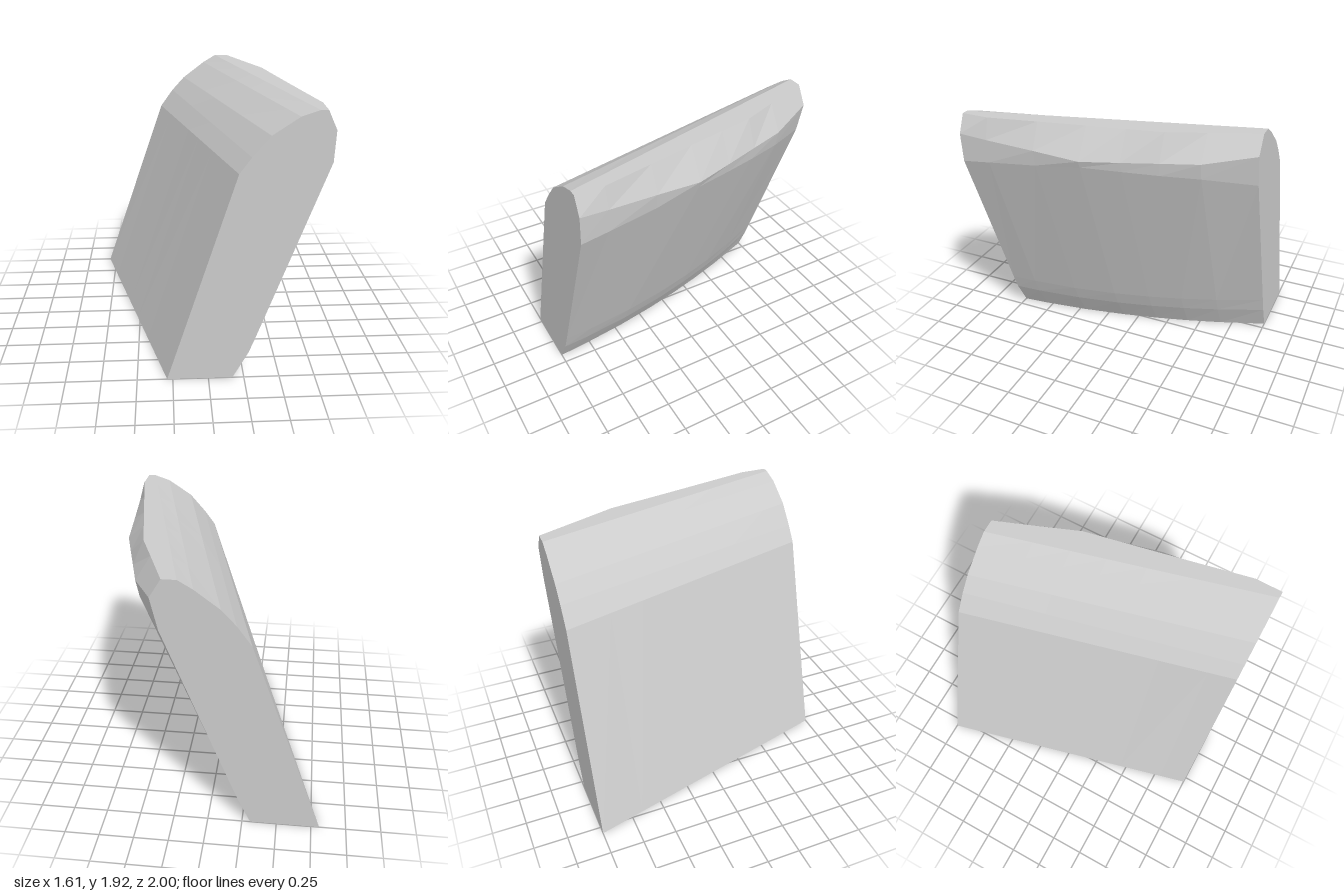
import * as THREE from 'three';

// Profile corners, clockwise from the lower left: [x at back, y at back, x at front, y at front]
const profile = [
  [-0.81, 0, -0.29, 0],
  [-0.30, 1.48, 0.19, 1.51],
  [-0.20, 1.62, 0.27, 1.62],
  [-0.10, 1.73, 0.39, 1.76],
  [0.07, 1.86, 0.57, 1.88],
  [0.17, 1.92, 0.69, 1.92],
  [0.27, 1.92, 0.74, 1.92], // top crease
  [0.35, 1.79, 0.80, 1.79], // outermost edge
  [0.30, 1.56, 0.79, 1.58], // start of the bulged wall
  [-0.17, 0.33, 0.33, 0.33],
  [-0.22, 0.20, 0.28, 0.20],
  [-0.31, 0, 0.17, 0],
];

// Depth stations, and how far the bulged side swells at each
const stations = [-1, -0.66, -0.4, -0.15, 0.12, 0.45, 0.8, 1];
const swellX = {
  6: [0, 0.05, 0.09, 0.08, 0.07, 0.06, 0.05, 0],
  7: [0, 0.085, 0.1, 0.115, 0.13, 0.08, 0.03, 0],
  8: [0, 0.105, 0.125, 0.135, 0.14, 0.085, 0.035, 0],
};
const swellY = {
  7: [0, -0.05, -0.06, -0.07, -0.08, -0.05, -0.02, 0],
  8: [0, 0.06, 0.07, 0.08, 0.09, 0.05, 0.02, 0],
};
const lowSwell = { 9: 0.11, 10: 0.10, 11: 0.08 };

function section(z, i) {
  const t = (z + 1) / 2;
  return profile.map(([xb, yb, xf, yf], k) => {
    const bulge = (swellX[k]?.[i] ?? 0) + (lowSwell[k] ?? 0) * (1 - z * z);
    const lift = swellY[k]?.[i] ?? 0;
    return [xb + (xf - xb) * t + bulge, yb + (yf - yb) * t + lift, z];
  });
}

function loft() {
  const n = profile.length;
  const last = (stations.length - 1) * n;
  const index = [];
  // Skin between neighbouring sections, underside included
  for (let i = 0; i < stations.length - 1; i++) {
    for (let k = 0; k < n; k++) {
      const a = i * n + k, b = i * n + (k + 1) % n;
      index.push(a, b + n, b, a, a + n, b + n);
    }
  }
  // Flat end faces
  for (let k = 1; k < n - 1; k++) {
    index.push(0, k, k + 1, last, last + k + 1, last + k);
  }
  const geometry = new THREE.BufferGeometry();
  geometry.setAttribute('position', new THREE.Float32BufferAttribute(stations.map(section).flat(2), 3));
  geometry.setIndex(index);
  const faceted = geometry.toNonIndexed();
  faceted.computeVertexNormals();
  return faceted;
}

export function createModel() {
  const group = new THREE.Group();
  group.name = 'leaningSlab';
  const material = new THREE.MeshStandardMaterial({ color: 0xcccccc, flatShading: true });
  const body = new THREE.Mesh(loft(), material);
  body.name = 'slabBody';
  group.add(body);
  return group;
}
